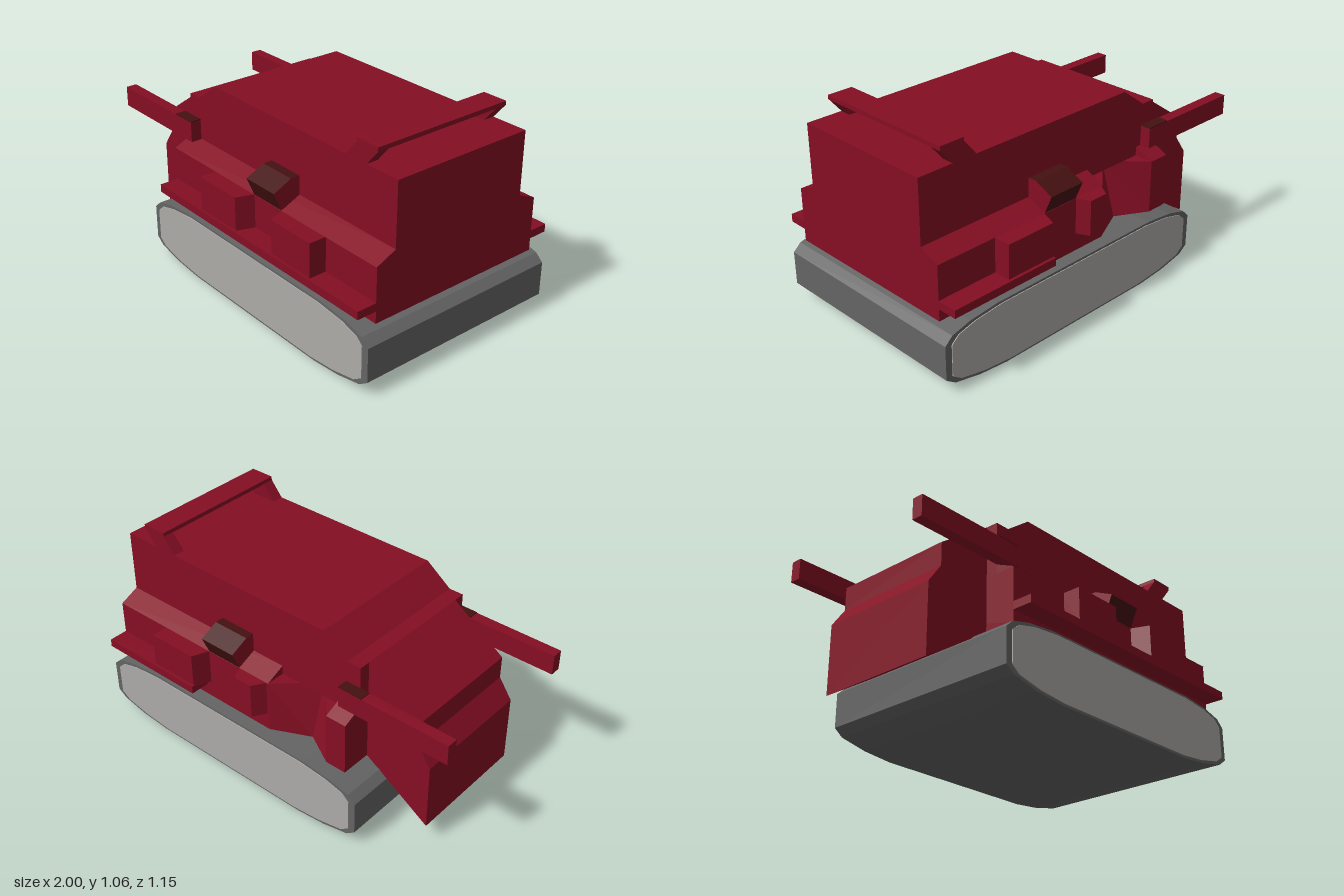
import * as THREE from 'three';

const mat = (name, color) => {
  const m = new THREE.MeshStandardMaterial({ color });
  m.name = name;
  return m;
};

export function createModel() {
  const red = mat('hull red', 0x850e23);
  const darkRed = mat('scorched red', 0x451010);
  const grey = mat('track grey', 0x646464);
  const lightGrey = mat('track side grey', 0xadaba8);

  const model = new THREE.Group();
  model.name = 'trackedVehicle';

  const add = (name, geometry, material) => {
    const mesh = new THREE.Mesh(geometry, material);
    mesh.name = name;
    model.add(mesh);
    return mesh;
  };
  const extrude = (points, depth) => new THREE.ExtrudeGeometry(
    new THREE.Shape(points.map(([a, b]) => new THREE.Vector2(a, b))),
    { depth, bevelEnabled: false });
  // outline in (x, y), swept over z
  const sideways = (pts, z0, z1) => extrude(pts, z1 - z0).translate(0, 0, z0);
  // outline in (x, z), swept over y
  const upward = (pts, y0, y1) => extrude(pts, y1 - y0).rotateX(Math.PI / 2).translate(0, y1, 0);
  // outline in (z, y), swept over x
  const lengthwise = (pts, x0, x1) => extrude(pts, x1 - x0).rotateY(-Math.PI / 2).translate(x1, 0, 0);
  const block = (x0, x1, y0, y1, z0, z1) => new THREE.BoxGeometry(x1 - x0, y1 - y0, Math.abs(z1 - z0))
    .translate((x0 + x1) / 2, (y0 + y1) / 2, (z0 + z1) / 2);

  // Track slab with inset light side plates
  const track = [
    [-0.605, 0.08], [-0.56, 0.045], [-0.42, 0.015], [-0.26, 0], [0.65, 0], [0.81, 0.015], [0.95, 0.045], [1, 0.08],
    [1, 0.25], [0.96, 0.287], [0.86, 0.314], [0.7, 0.33], [-0.3, 0.33], [-0.46, 0.314], [-0.565, 0.287], [-0.605, 0.25],
  ];
  add('track', sideways(track, -0.542, 0.538), grey);
  const plate = track.map(([x, y]) => [0.1975 + (x - 0.1975) * 0.957, 0.165 + (y - 0.165) * 0.93]);
  add('trackSidePlateFront', sideways(plate, 0.538, 0.542), lightGrey);
  add('trackSidePlateBack', sideways(plate, -0.546, -0.542), lightGrey);

  // Upper hull and sloping nose
  add('upperHull', sideways([
    [-0.49, 0.6], [0.97, 0.6], [0.97, 0.96], [-0.28, 0.96], [-0.415, 0.86], [-0.49, 0.86],
  ], -0.375, 0.372), red);
  add('nose', sideways([
    [-0.49, 0.33], [-0.49, 0.86], [-0.77, 0.665], [-0.77, 0.55], [-0.84, 0.45], [-0.84, 0.105],
  ], -0.318, 0.312), red);

  // Lower hull with a gash in the back side that deepens towards the top
  const lower = upward([
    [-0.49, 0.472], [0.97, 0.472], [0.97, -0.475], [-0.03, -0.475], [-0.22, -0.385], [-0.38, -0.475], [-0.49, -0.475],
  ], 0.33, 0.6);
  const p = lower.attributes.position;
  for (let i = 0; i < p.count; i++) {
    if (Math.abs(p.getX(i) + 0.22) < 0.001 && p.getY(i) > 0.5) p.setZ(i, -0.3);
  }
  lower.computeVertexNormals();
  add('lowerHull', lower, red);

  // Sloped shoulders between lower and upper hull
  const shoulder = (s, x0, x1) => add('shoulder',
    lengthwise([[s * 0.37, 0.6], [s * 0.475, 0.6], [s * 0.37, 0.647]], x0, x1), red);
  shoulder(1, -0.49, 0.97);
  shoulder(-1, -0.49, -0.38);
  shoulder(-1, -0.03, 0.97);

  // Fenders: whole in front, broken off at the back
  add('fenderFront', block(-0.49, 0.97, 0.39, 0.43, 0.4, 0.572), red);
  add('fenderBack', block(0.38, 0.97, 0.39, 0.43, -0.575, -0.4), red);

  // Side lockers with slanted inner ends
  const locker = (name, s, outer, xa, xb, xaOut, xbOut) => add(name, upward([
    [xa, s * 0.46], [xb, s * 0.46], [xbOut, s * outer], [xaOut, s * outer],
  ], 0.42, 0.6), red);
  locker('lockerForwardFront', 1, 0.56, -0.15, 0.155, -0.15, 0.12);
  locker('lockerRearFront', 1, 0.56, 0.345, 0.65, 0.385, 0.65);
  locker('lockerForwardBack', -1, 0.54, -0.03, 0.155, 0.02, 0.12);
  locker('lockerRearBack', -1, 0.56, 0.345, 0.65, 0.385, 0.65);

  for (const s of [1, -1]) {
    // Tilted vents: red ends, dark outer faces
    add('sideVent', lengthwise([
      [s * 0.37, 0.64], [s * 0.475, 0.602], [s * 0.515, 0.695], [s * 0.42, 0.74], [s * 0.37, 0.74],
    ], 0.152, 0.35), [red, darkRed]);

    // Gun beams with a dark breech plate
    add('gun', block(-1, -0.41, 0.645, 0.748, s * 0.374, s * 0.43), red);
    add('gunBreech', block(-0.54, -0.41, 0.748, 0.752, s * 0.374, s * 0.43), darkRed);

    // Leaning spoiler posts
    const z = s > 0 ? 0.312 : -0.375;
    add('spoilerPost', sideways([
      [0.65, 0.955], [0.78, 0.955], [0.85, 1.038], [0.72, 1.038],
    ], z, z + 0.06), red);
  }
  add('spoilerBar', block(0.72, 0.85, 1.036, 1.057, -0.375, 0.372), red);

  return model;
}
